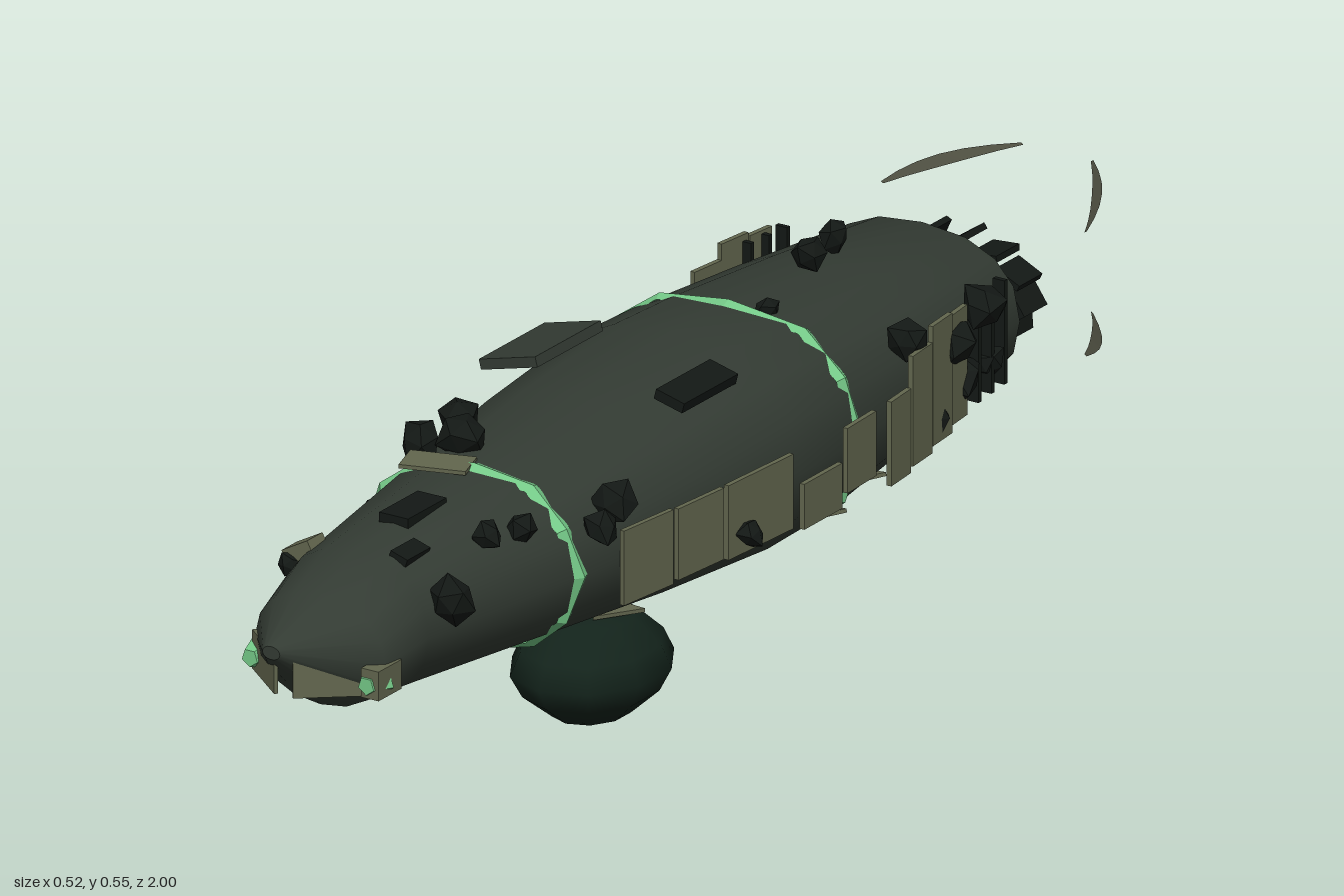
import * as THREE from 'three';

const mat = (color, extra = {}) => new THREE.MeshStandardMaterial({ color, ...extra });
const hullMat = mat(0x333b33);
const panelMat = mat(0x62664e, { flatShading: true, side: THREE.DoubleSide });
const darkMat = mat(0x131815, { flatShading: true });
const podMat = mat(0x13231b);
const strapMat = mat(0x74c887, { flatShading: true, side: THREE.DoubleSide });
const finMat = mat(0x4c4d3f, { side: THREE.DoubleSide });

// Hull stations: z, half width, bottom, top, sideways shift
const STATIONS = [
  [1, 0.015, 0.33, 0.35, -0.025], [0.91, 0.112, 0.237, 0.405, 0], [0.82, 0.127, 0.228, 0.445, 0],
  [0.5, 0.178, 0.203, 0.472, 0], [0.25, 0.207, 0.183, 0.495, 0], [0, 0.222, 0.168, 0.512, 0],
  [-0.15, 0.22, 0.172, 0.505, 0], [-0.4, 0.196, 0.2, 0.487, 0], [-0.65, 0.168, 0.232, 0.465, 0],
  [-0.7, 0.13, 0.285, 0.41, 0],
];

function hullAt(z) {
  let i = 0;
  while (i < STATIONS.length - 2 && z < STATIONS[i + 1][0]) i++;
  const a = STATIONS[i], b = STATIONS[i + 1];
  const t = THREE.MathUtils.clamp((a[0] - z) / (a[0] - b[0]), 0, 1);
  return [1, 2, 3, 4].map(k => a[k] + (b[k] - a[k]) * t);
}

// Point on the cross-section; angle 0 is +x, PI/2 is the top.
// Rounded square aft, turning towards an ellipse at the bow.
function hullPoint(z, angle, grow = 0) {
  const [w, bottom, top, shift] = hullAt(z);
  const power = 0.85 + 0.1 * THREE.MathUtils.clamp(z / 0.5, 0, 1);
  const soft = v => Math.sign(v) * Math.pow(Math.abs(v), power);
  return new THREE.Vector3(
    shift + (w + grow) * soft(Math.cos(angle)),
    (top + bottom) / 2 + ((top - bottom) / 2 + grow) * soft(Math.sin(angle)), z);
}

// Skin through a list of closed rings of points
function skin(rings, caps) {
  const n = rings[0].length, pos = [], index = [];
  rings.forEach(r => r.forEach(p => pos.push(p.x, p.y, p.z)));
  for (let r = 0; r < rings.length - 1; r++) {
    for (let i = 0; i < n; i++) {
      const a = r * n + i, b = r * n + (i + 1) % n;
      index.push(a, a + n, b, b, a + n, b + n);
    }
  }
  if (caps) {
    [0, rings.length - 1].forEach((r, end) => {
      const centre = rings[r].reduce((s, p) => s.add(p), new THREE.Vector3()).divideScalar(n);
      const c = pos.length / 3;
      pos.push(centre.x, centre.y, centre.z);
      rings[r].forEach(p => pos.push(p.x, p.y, p.z));
      for (let i = 0; i < n; i++) {
        const a = c + 1 + i, b = c + 1 + (i + 1) % n;
        index.push(...(end ? [c, b, a] : [c, a, b]));
      }
    });
  }
  const g = new THREE.BufferGeometry();
  g.setAttribute('position', new THREE.Float32BufferAttribute(pos, 3));
  g.setIndex(index);
  g.computeVertexNormals();
  return g;
}

export function createModel() {
  const group = new THREE.Group();
  const add = (name, geometry, material, x = 0, y = 0, z = 0) => {
    const m = new THREE.Mesh(geometry, material);
    m.name = name;
    m.position.set(x, y, z);
    group.add(m);
    return m;
  };
  const angles = n => Array.from({ length: n }, (_, i) => (i / n) * Math.PI * 2);

  // Main hull
  add('hull', skin(STATIONS.map(s => angles(16).map(a => hullPoint(s[0], a))), true), hullMat);

  // Uneven collars around the hull, widest on the lower right flank
  for (const z0 of [0.51, -0.15]) {
    const edge = (dz, grow, swell) => angles(12).map((a, i) =>
      hullPoint(z0 + dz + (i % 2) * 0.01, a, grow + swell * Math.max(0, Math.cos(a - 3.9))));
    add('hullBand', skin([edge(0.006, 0, 0), edge(-0.008, 0.007, 0.01), edge(-0.022, 0, 0)], false),
      strapMat);
  }

  // Side armour: z start, z end, y low, y high, gap from hull
  const armour = [
    [0.42, 0.31, 0.27, 0.385, 0.006], [0.305, 0.2, 0.275, 0.385, 0.01],
    [0.19, 0.035, 0.27, 0.385, 0.01], [0.01, -0.09, 0.26, 0.33, 0.01],
    [-0.1, -0.18, 0.28, 0.38, 0.012], [-0.22, -0.28, 0.25, 0.38, 0.015],
    [-0.28, -0.34, 0.26, 0.43, 0.018], [-0.34, -0.4, 0.27, 0.455, 0.018],
    [-0.4, -0.45, 0.28, 0.45, 0.016],
  ];
  for (const side of [-1, 1]) {
    armour.forEach(([za, zb, y0, y1, gap], i) => {
      // The tall stern panels sit further aft on the right flank
      const shift = side < 0 && i > 4 ? -0.1 : 0;
      const z0 = za + shift, z1 = zb + shift;
      const wa = hullAt(z0)[0], wb = hullAt(z1)[0];
      const m = add('sideArmour', new THREE.BoxGeometry(0.008, y1 - y0, z0 - z1), panelMat,
        side * ((wa + wb) / 2 + gap), (y0 + y1) / 2, (z0 + z1) / 2);
      m.rotation.y = side * Math.atan2(wa - wb, z0 - z1);
    });
    // Thin upright bars near the stern
    for (const z of [-0.49, -0.53, -0.57]) {
      add('sternBar', new THREE.BoxGeometry(0.02, 0.16, 0.008), darkMat,
        side * (hullAt(z)[0] + 0.01), 0.365, z);
    }
    // Plates and lamps flanking the nose
    const plate = add('nosePlate', new THREE.BoxGeometry(0.105, 0.06, 0.006), panelMat,
      side * 0.055 - 0.012, 0.302, 0.952);
    plate.rotation.y = side * 0.68;
    add('noseLamp', new THREE.CylinderGeometry(0.014, 0.026, 0.035, 5).rotateX(Math.PI / 2),
      strapMat, side * 0.1, 0.297, 0.925);
  }
  add('noseBox', new THREE.BoxGeometry(0.03, 0.045, 0.06), panelMat, 0.105, 0.3, 0.91);

  // Roof hatches: x, z, width, length, y, roll, material
  const hatches = [
    [-0.135, 0.135, 0.1, 0.17, 0.505, 0.25, hullMat], [0.122, 0.12, 0.05, 0.14, 0.493, -0.25, darkMat],
    [0, 0.67, 0.05, 0.1, 0.457, 0, darkMat], [0.06, 0.77, 0.03, 0.06, 0.436, -0.3, darkMat],
  ];
  for (const [x, z, w, l, y, roll, material] of hatches) {
    add('roofHatch', new THREE.BoxGeometry(w, 0.016, l), material, x, y, z).rotation.z = roll;
  }
  const roofPlate = add('roofPlate', new THREE.BoxGeometry(0.1, 0.006, 0.06), panelMat, -0.05, 0.473, 0.53);
  roofPlate.rotation.y = 0.3;
  const bowBox = add('bowBox', new THREE.BoxGeometry(0.05, 0.033, 0.04), panelMat, -0.11, 0.405, 0.78);
  bowBox.rotation.z = 0.5;

  // Loose-edged plates under the keel
  for (const [x, y, z, roll] of [[-0.06, 0.187, 0.5, -0.12], [0.085, 0.172, -0.24, 0.08],
    [0.08, 0.19, -0.35, 0.1], [-0.06, 0.163, 0.1, -0.1], [0.03, 0.157, 0.2, -0.05]]) {
    add('keelPlate', new THREE.CylinderGeometry(0.048, 0.048, 0.006, 3), panelMat, x, y, z)
      .rotation.z = roll;
  }

  // Rough lumps on the hull: x, y, z, radius
  const lumps = [
    [0.015, 0.527, -0.33, 0.027], [-0.02, 0.505, -0.45, 0.026], [0.05, 0.5, -0.17, 0.02],
    [0.205, 0.43, -0.5, 0.036], [0.212, 0.4, -0.42, 0.034], [0.195, 0.3, -0.37, 0.034],
    [0.19, 0.33, -0.46, 0.036], [0.185, 0.33, -0.54, 0.026], [0.2, 0.44, -0.31, 0.03],
    [-0.1, 0.485, 0.4, 0.034], [-0.06, 0.485, 0.45, 0.036], [-0.12, 0.47, 0.47, 0.034],
    [0.175, 0.42, 0.41, 0.034], [0.185, 0.4, 0.46, 0.028], [0.14, 0.385, 0.78, 0.036],
    [-0.115, 0.4, 0.59, 0.026], [0.115, 0.435, 0.65, 0.024], [0.125, 0.425, 0.58, 0.026],
    [0.235, 0.3, 0.15, 0.022], [-0.237, 0.34, 0.15, 0.022], [-0.125, 0.39, 0.8, 0.018],
  ];
  lumps.forEach(([x, y, z, r], i) => {
    const g = new THREE.IcosahedronGeometry(r, 0), p = g.attributes.position;
    // Push corners in or out by position so each lump is jagged
    for (let k = 0; k < p.count; k++) {
      const v = new THREE.Vector3().fromBufferAttribute(p, k).divideScalar(r);
      const s = 0.98 + 0.2 * Math.sin(v.x * 5 + v.y * 9 + v.z * 3 + i);
      p.setXYZ(k, v.x * s * r, v.y * s * r, v.z * s * r);
    }
    g.computeVertexNormals();
    add('hullLump', g, darkMat, x, y, z).rotation.set(i * 1.3, i * 0.7, i * 2.1);
  });

  // Belly pod
  const podProfile = [[0, 0], [0.058, 0.001], [0.1, 0.038], [0.118, 0.073], [0.103, 0.108],
    [0.063, 0.148], [0, 0.155]].map(p => new THREE.Vector2(...p));
  add('bellyPod', new THREE.LatheGeometry(podProfile, 10), podMat, 0.006, 0, 0.215).scale.set(0.97, 1, 1.17);

  // Ring of engine blades behind the stern
  for (const a of angles(12)) {
    const blade = add('engineBlade', new THREE.BoxGeometry(0.01, 0.045, 0.06), darkMat,
      0.01 + 0.108 * Math.cos(a), 0.343 + 0.07 * Math.sin(a), -0.742);
    blade.rotation.z = a + 0.6;
  }

  // Four curved tail fins, thin blades pointing away from the engine axis
  for (const sx of [-1, 1]) {
    for (const sy of [-1, 1]) {
      const pos = [], index = [], steps = 6;
      for (let i = 0; i <= steps; i++) {
        const t = i / steps, half = 0.002 + 0.007 * Math.sin(Math.PI * t);
        const x = sx * (0.175 - 0.06 * t - 0.055 * t * t);
        const y = 0.34 + sy * (0.095 + 0.035 * t - 0.013 * t * t);
        const z = -0.81 - 0.19 * t;
        pos.push(x - sx * half, y - sy * half * 0.65, z, x + sx * half, y + sy * half * 0.65, z);
        if (i < steps) index.push(...[0, 1, 2, 1, 3, 2].map(k => k + i * 2));
      }
      const g = new THREE.BufferGeometry();
      g.setAttribute('position', new THREE.Float32BufferAttribute(pos, 3));
      g.setIndex(index);
      g.computeVertexNormals();
      add('tailFin', g, finMat);
    }
  }
  return group;
}
